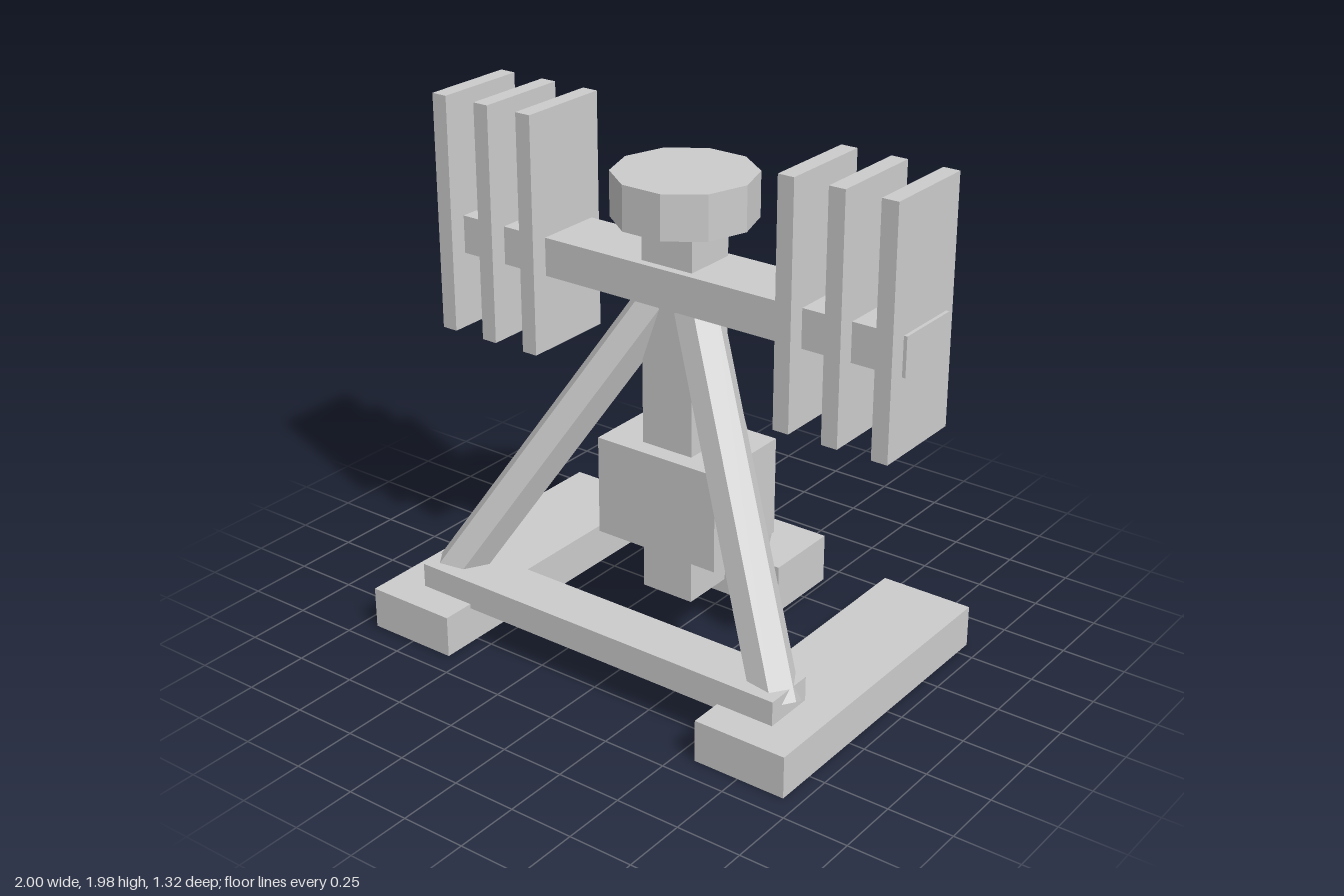
import * as THREE from 'three';

export function createModel() {
  const model = new THREE.Group();
  model.name = 'standMachine';
  const grey = new THREE.MeshStandardMaterial({ color: 0xcccccc });
  grey.name = 'plain grey';
  grey.flatShading = true;

  const add = (name, geometry) => {
    const mesh = new THREE.Mesh(geometry, grey);
    mesh.name = name;
    model.add(mesh);
    return mesh;
  };

  // Box given by its extents along each axis
  const box = (name, [x0, x1], [y0, y1], [z0, z1]) =>
    add(name, new THREE.BoxGeometry(x1 - x0, y1 - y0, z1 - z0))
      .position.set((x0 + x1) / 2, (y0 + y1) / 2, (z0 + z1) / 2);

  // Six-sided strut with one flat turned towards the front
  const strut = (name, from, to) => {
    const a = new THREE.Vector3(...from);
    const b = new THREE.Vector3(...to);
    const axis = a.clone().sub(b);
    const geometry = new THREE.CylinderGeometry(0.09, 0.09, axis.length(), 6);
    geometry.rotateY(Math.PI / 6);
    axis.normalize();
    const side = new THREE.Vector3().crossVectors(axis, new THREE.Vector3(0, 0, 1)).normalize();
    const face = new THREE.Vector3().crossVectors(side, axis);
    const mesh = add(name, geometry);
    mesh.quaternion.setFromRotationMatrix(new THREE.Matrix4().makeBasis(side, axis, face));
    mesh.position.copy(a).add(b).multiplyScalar(0.5);
  };

  // Central column with its weight and ten-sided cap
  box('column', [-0.11, 0.11], [0.19, 1.67], [-0.157, 0.06]);
  box('weight', [-0.265, 0.265], [0.4, 0.79], [-0.255, 0.13]);
  const cap = add('cap', new THREE.CylinderGeometry(0.265, 0.265, 0.17, 10));
  cap.rotation.y = Math.PI / 2;
  cap.position.set(0, 1.743, -0.048);

  // Cross beam and base
  box('crossBeam', [-1, 1], [1.355, 1.503], [-0.177, 0.092]);
  box('frontBar', [-0.8, 0.8], [0.145, 0.258], [0.327, 0.53]);
  box('rearFoot', [-0.233, 0.233], [0, 0.197], [-0.662, -0.34]);
  strut('rearLeg', [0, 1.43, -0.05], [0, 0.165, -0.5]);

  // Mirrored feet, legs and upright plates
  for (const s of [1, -1]) {
    const side = s > 0 ? 'left' : 'right';
    const span = (lo, hi) => (s > 0 ? [lo, hi] : [-hi, -lo]);
    box(side + 'Foot', span(0.57, 0.938), [0, 0.163], [-0.57, 0.66]);
    strut(side + 'Leg', [s * 0.03, 1.43, -0.05], [s * 0.752, 0.175, 0.43]);
    [0.56, 0.757, 0.955].forEach((x, i) =>
      box(side + 'Plate' + (i + 1), span(x - 0.032, x + 0.032), [1.06, 1.98], [-0.22, 0.16]));
  }
  return model;
}
